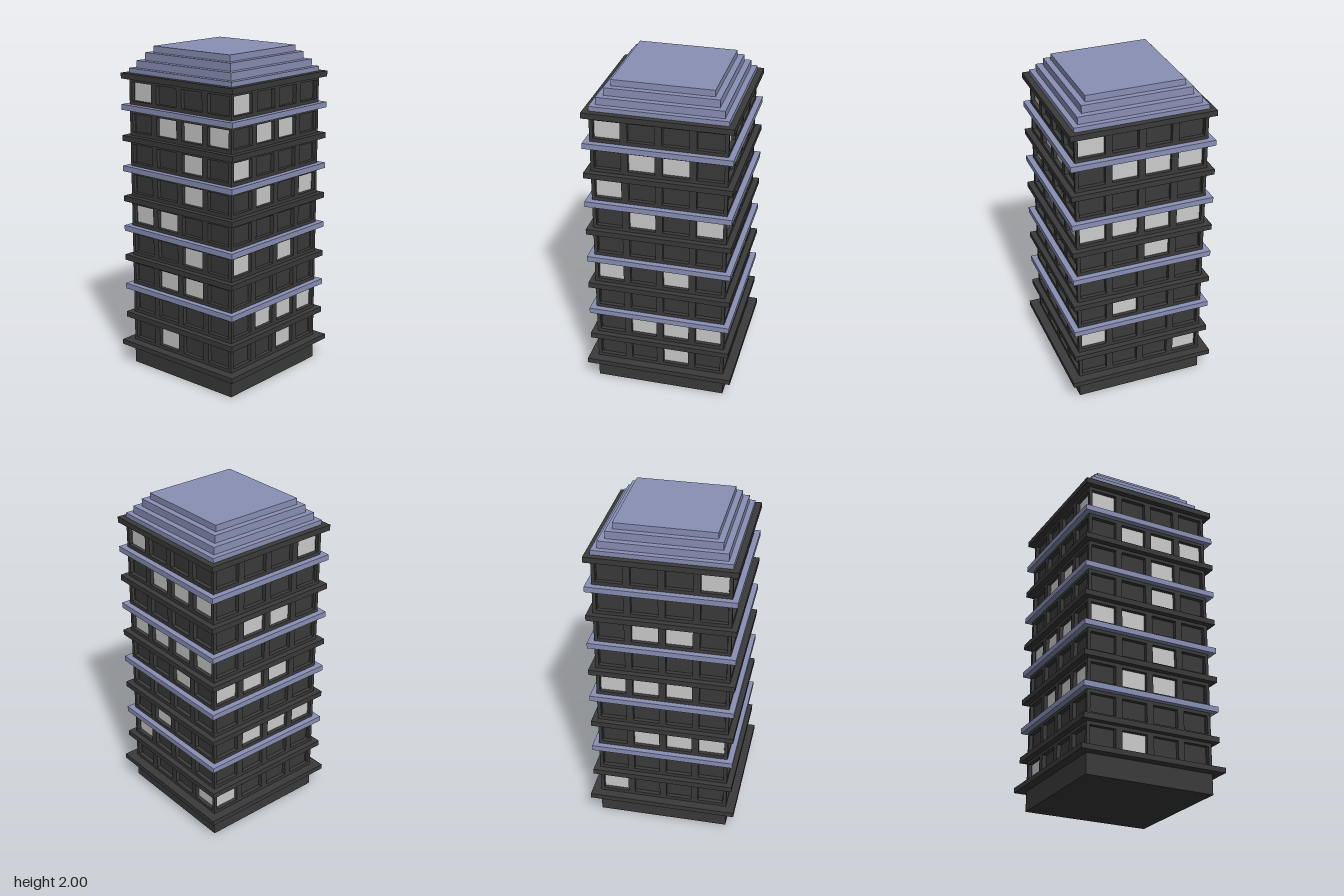
import * as THREE from 'three';

const DARK = new THREE.MeshStandardMaterial({ color: 0x3a3a3a });
const BLUE = new THREE.MeshStandardMaterial({ color: 0x8990b5 });
const LIT = new THREE.MeshStandardMaterial({ color: 0xcccccc });

const HALF = 0.4, WALL_TOP = 1.83, RECESS = 0.025;
const FLOORS = 9, PITCH = 0.188, WIN_W = 0.158, WIN_H = 0.112;
const colX = (c) => -0.3 + 0.2 * c;
const rowY = (r) => 0.23 + PITCH * r;

// Lit windows per side, ground floor first, columns left to right from outside
const SIDES = [
  { name: 'front', lit: '0100 0000 0110 0010 1100 0010 0010 0111 1000' },
  { name: 'left', lit: '0010 0111 0000 1010 0000 0101 1000 0110 1000' },
  { name: 'back', lit: '0001 1000 0100 0000 0010 1111 0000 0111 1000' },
  { name: 'right', lit: '1000 0000 0111 0000 1110 0000 0110 0000 0001' },
];

function slab(name, half, y0, y1, material) {
  const mesh = new THREE.Mesh(new THREE.BoxGeometry(half * 2, y1 - y0, half * 2), material);
  mesh.position.y = (y0 + y1) / 2;
  mesh.name = name;
  return mesh;
}

// Wall panel pierced by window openings, mitred at the building corners
function wallGeometry() {
  const shape = new THREE.Shape([
    new THREE.Vector2(-HALF, 0), new THREE.Vector2(HALF, 0),
    new THREE.Vector2(HALF, WALL_TOP), new THREE.Vector2(-HALF, WALL_TOP),
  ]);
  for (let r = 0; r < FLOORS; r++) {
    for (let c = 0; c < 4; c++) {
      const x = colX(c), y = rowY(r), w = WIN_W / 2, h = WIN_H / 2;
      shape.holes.push(new THREE.Path([
        new THREE.Vector2(x - w, y - h), new THREE.Vector2(x - w, y + h),
        new THREE.Vector2(x + w, y + h), new THREE.Vector2(x + w, y - h),
      ]));
    }
  }
  const geo = new THREE.ExtrudeGeometry(shape, { depth: RECESS, bevelEnabled: false });
  const p = geo.attributes.position;
  for (let i = 0; i < p.count; i++) {
    if (p.getZ(i) < RECESS / 2 && Math.abs(p.getX(i)) > HALF - 0.001) {
      p.setX(i, Math.sign(p.getX(i)) * (HALF - RECESS));
    }
  }
  geo.translate(0, 0, HALF - RECESS);
  geo.computeVertexNormals();
  return geo;
}

export function createModel() {
  const model = new THREE.Group();
  model.name = 'tower';

  // Solid core behind the walls forms the dark panes
  model.add(slab('core', HALF - RECESS, 0, WALL_TOP, DARK));

  // Four facades with lit panes
  const wall = wallGeometry();
  const pane = new THREE.PlaneGeometry(WIN_W, WIN_H);
  SIDES.forEach((side, i) => {
    const facade = new THREE.Group();
    facade.name = side.name + 'Facade';
    const panel = new THREE.Mesh(wall, DARK);
    panel.name = 'wall';
    facade.add(panel);
    side.lit.split(' ').forEach((row, r) => {
      [...row].forEach((on, c) => {
        if (on !== '1') return;
        const window = new THREE.Mesh(pane, LIT);
        window.name = 'litWindow';
        window.position.set(colX(c), rowY(r), HALF - RECESS + 0.002);
        facade.add(window);
      });
    });
    facade.rotation.y = (i * Math.PI) / 2;
    model.add(facade);
  });

  // Plinth ledge and a ledge above every floor, alternately dark and blue
  model.add(slab('plinthLedge', 0.455, 0.122, 0.153, DARK));
  for (let r = 0; r < FLOORS; r++) {
    const y = 0.323 + PITCH * r;
    model.add(slab('floorLedge', 0.435, y - 0.017, y + 0.017, r % 2 ? BLUE : DARK));
  }

  // Stepped roof
  const steps = [[0.4, 1.872], [0.368, 1.916], [0.332, 1.962], [0.297, 2]];
  let y = 1.84;
  for (const [half, top] of steps) {
    model.add(slab('roofStep', half, y, top, BLUE));
    y = top;
  }
  return model;
}
